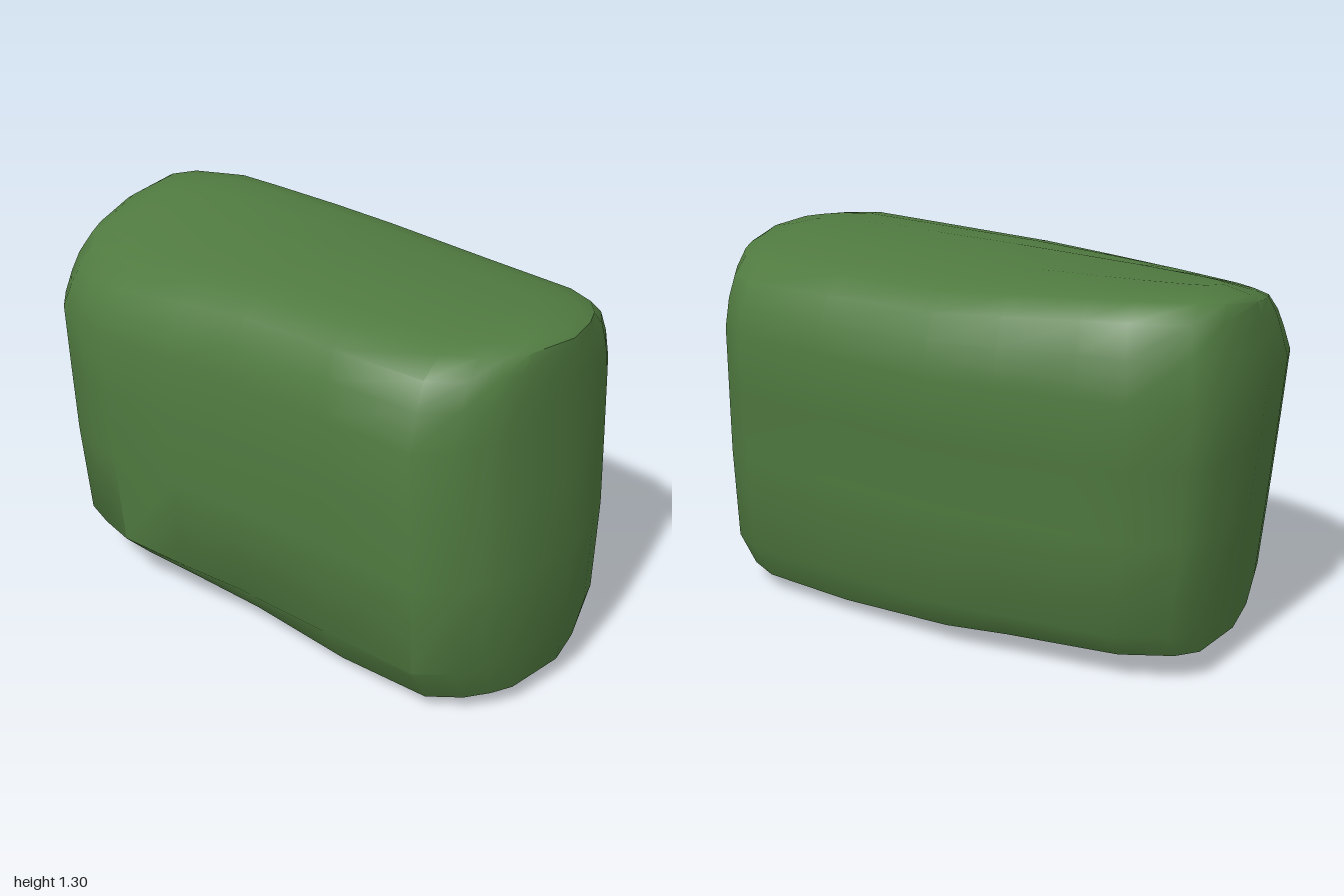
import * as THREE from 'three';
import { toCreasedNormals } from 'three/addons/utils/BufferGeometryUtils.js';

// piecewise-linear lookup over [key, value] pairs
function lerpTable(table, t) {
  for (let i = 1; i < table.length; i++) {
    const [a, va] = table[i - 1], [b, vb] = table[i];
    if (t <= b) return THREE.MathUtils.lerp(va, vb, THREE.MathUtils.clamp((t - a) / (b - a), 0, 1));
  }
  return table[table.length - 1][1];
}

// plan outline of the hedge [x, z], running front-left round to the back
const OUTLINE = [
  [-1, 0], [-0.965, 0.25], [-0.935, 0.35], [-0.85, 0.44], [-0.72, 0.49], [-0.57, 0.53], [-0.28, 0.53], [0, 0.52],
  [0.4, 0.535], [0.76, 0.545], [0.87, 0.46], [0.93, 0.37], [0.97, 0.28], [1, 0],
  [0.965, -0.2], [0.93, -0.31], [0.87, -0.41], [0.76, -0.475], [0.4, -0.51], [-0.05, -0.55], [-0.3, -0.53],
  [-0.57, -0.5], [-0.73, -0.48], [-0.91, -0.38], [-0.975, -0.29],
];

// layers: height, front depth scale, back depth scale, left reach, right reach
const LAYERS = [
  [0.07, 0.77, 0.75, 0.92, 0.97],
  [0.2, 0.96, 0.9, 0.925, 0.99],
  [0.53, 1, 0.92, 0.955, 1],
  [0.78, 0.995, 0.96, 0.98, 0.985],
  [1.0, 0.99, 1, 1, 0.97],
  [1.11, 0.93, 0.95, 0.98, 0.965],
  [1.19, 0.85, 0.87, 0.965, 0.96],
  [1.245, 0.7, 0.72, 0.95, 0.955],
  [1.265, 0.53, 0.57, 0.92, 0.925],
  [1.285, 0.25, 0.3, 0.83, 0.83],
  [1.285, 0, 0, 0.83, 0.83],
];

// uneven lower edge along x
const HEM = [[-0.92, 0.11], [-0.3, 0.095], [0.05, 0.07], [0.5, 0.04], [0.97, 0.07]];

function foliageGeometry() {
  const n = OUTLINE.length, pos = [], index = [];
  LAYERS.forEach(([h, front, back, left, right], k) => {
    for (const [px, pz] of OUTLINE) {
      const x = px * (px < 0 ? left : right);
      const z = pz * (pz < 0 ? back : front);
      let y = h;
      if (k === 0) y = lerpTable(HEM, x) - 0.02 * z * (x > 0 ? 1 : 0);
      // the clipped top twists, most strongly at one end
      y += (x < 0 ? 0.2 : 0.06) * x * z * THREE.MathUtils.smoothstep(h, 0.95, 1.25);
      pos.push(x, y, z);
    }
  });
  // walls and crown
  for (let k = 0; k < LAYERS.length - 1; k++) {
    for (let i = 0; i < n; i++) {
      const j = (i + 1) % n, a = k * n + i, b = k * n + j;
      index.push(a, b, b + n, a, b + n, a + n);
    }
  }
  // underside
  const centre = pos.length / 3;
  pos.push(0, 0.075, 0);
  for (let i = 0; i < n; i++) index.push(centre, (i + 1) % n, i);

  const g = new THREE.BufferGeometry();
  g.setAttribute('position', new THREE.Float32BufferAttribute(pos, 3));
  g.setIndex(index);
  return toCreasedNormals(g, 0.72);
}

export function createModel() {
  const green = new THREE.MeshStandardMaterial({ color: 0x507a40 });
  green.name = 'leafGreen';
  const brown = new THREE.MeshStandardMaterial({ color: 0x563f32 });
  brown.name = 'barkBrown';

  const model = new THREE.Group();
  model.name = 'hedge';

  const foliage = new THREE.Mesh(foliageGeometry(), green);
  foliage.name = 'foliage';
  model.add(foliage);

  // short stems under the foliage [x, z]
  const stems = new THREE.Group();
  stems.name = 'stems';
  const stemGeo = new THREE.CylinderGeometry(0.014, 0.018, 0.14, 6);
  stemGeo.translate(0, 0.07, 0);
  [[-0.755, 0.1], [-0.445, -0.085], [-0.22, -0.07], [-0.06, -0.05], [0.205, 0.06], [0.5, 0.09], [0.76, 0.035]]
    .forEach(([x, z]) => {
      const stem = new THREE.Mesh(stemGeo, brown);
      stem.name = 'stem';
      stem.position.set(x, 0, z);
      stems.add(stem);
    });
  model.add(stems);
  return model;
}
